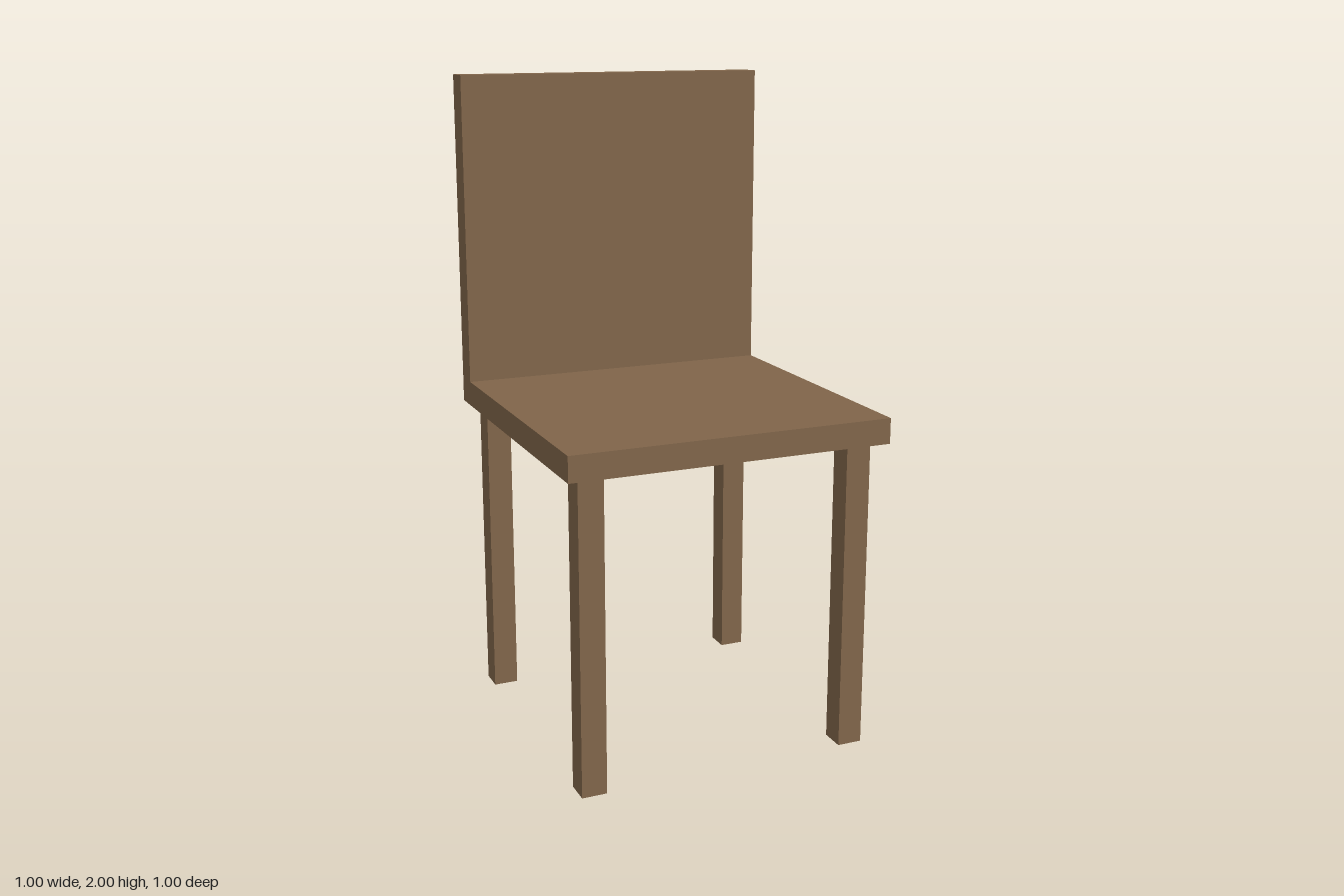
import * as THREE from 'three';

export function createModel() {
  const model = new THREE.Group();
  model.name = 'chair';
  const wood = new THREE.MeshStandardMaterial({ color: 0x80654a });
  wood.name = 'brown wood';

  // Seat and backrest: one L-shaped side profile (z, y) extruded across the width
  const profile = new THREE.Shape([
    [0.5, 0.962], [0.5, 1.04], [-0.42, 1.04], [-0.42, 2], [-0.5, 2], [-0.5, 0.962],
  ].map(([z, y]) => new THREE.Vector2(-z, y)));
  const seatGeometry = new THREE.ExtrudeGeometry(profile, { depth: 1, bevelEnabled: false });
  seatGeometry.translate(0, 0, -0.5).rotateY(Math.PI / 2);
  const seat = new THREE.Mesh(seatGeometry, wood);
  seat.name = 'seatAndBackrest';
  model.add(seat);

  // Four square legs
  const legHeight = 0.962;
  const legGeometry = new THREE.BoxGeometry(0.077, legHeight, 0.077);
  for (const [side, x] of [['Left', 0.42], ['Right', -0.42]]) {
    for (const [end, z] of [['front', 0.42], ['back', -0.42]]) {
      const leg = new THREE.Mesh(legGeometry, wood);
      leg.name = `${end}${side}Leg`;
      leg.position.set(x, legHeight / 2, z);
      model.add(leg);
    }
  }
  return model;
}
